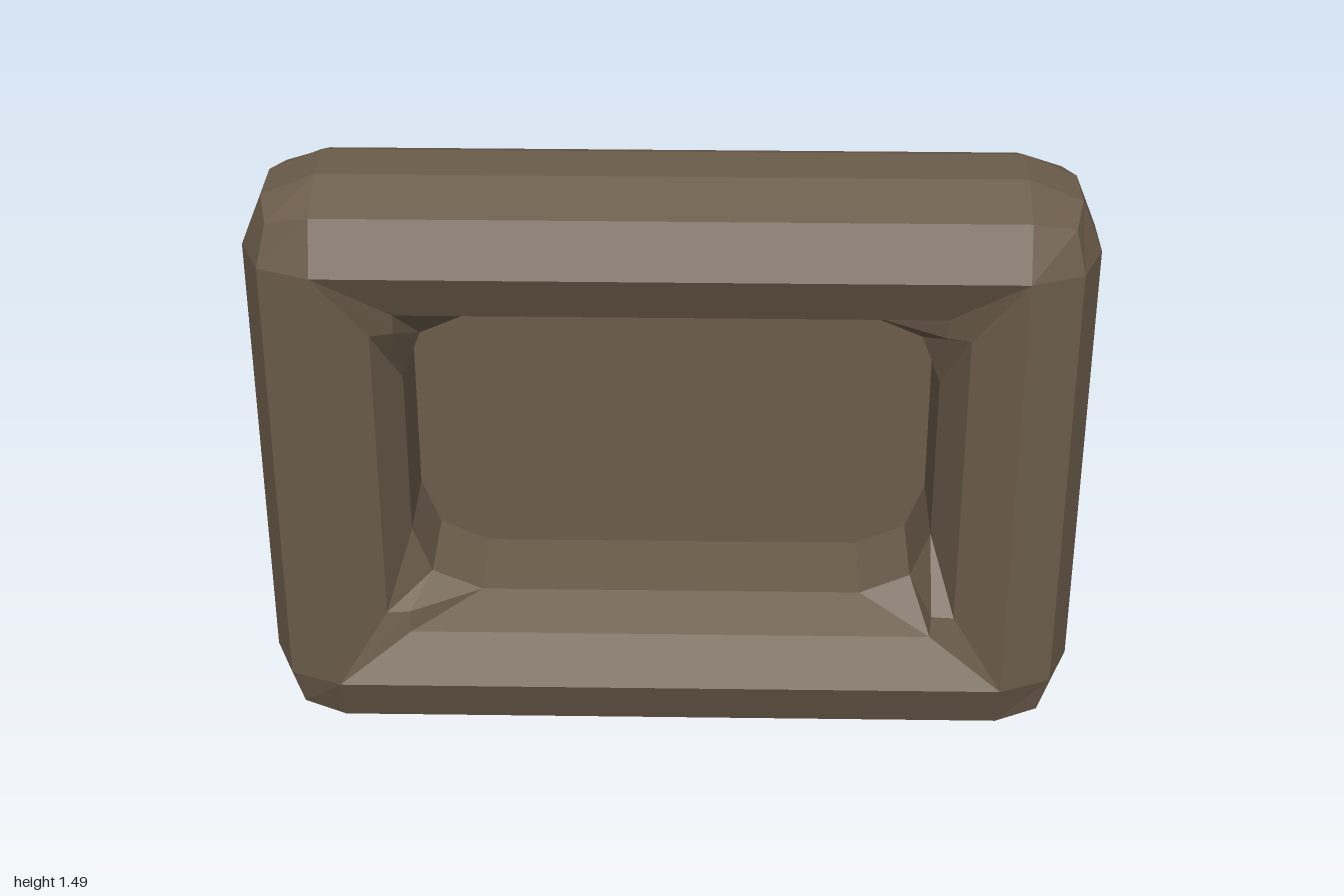
import * as THREE from 'three';
import { RoundedBoxGeometry } from 'three/addons/geometries/RoundedBoxGeometry.js';

const W = 2, H = 1.49, D = 0.5, R = 0.18, MID = H / 2;

function geometryFrom(positions) {
  const geometry = new THREE.BufferGeometry();
  geometry.setAttribute('position', new THREE.Float32BufferAttribute(positions, 3));
  geometry.computeVertexNormals();
  return geometry;
}

// Bevelled shell: a rounded box with its flat front panel left out
function shellGeometry() {
  const box = new RoundedBoxGeometry(W, H, D, 1, R);
  const source = box.index ? box.toNonIndexed() : box;
  const p = source.attributes.position;
  const kept = [];
  for (let i = 0; i < p.count; i += 3) {
    const onFront = [0, 1, 2].every((k) => p.getZ(i + k) > D / 2 - 0.001);
    if (onFront) continue;
    for (let k = 0; k < 3; k++) kept.push(p.getX(i + k), p.getY(i + k), p.getZ(i + k));
  }
  return geometryFrom(kept);
}

// Mirrors the three points of the top right corner into a 12 point ring, counterclockwise
function ring(corner) {
  const flip = (sx, sy) => corner.map(([x, y, z]) => new THREE.Vector3(x * sx, y * sy, z));
  return [
    ...flip(1, 1),
    ...flip(-1, 1).reverse(),
    ...flip(-1, -1),
    ...flip(1, -1).reverse(),
  ];
}

// Joins each ring to the next one behind it
function recessGeometry(rings) {
  const out = [];
  const triangle = (a, b, c) => {
    const area = new THREE.Triangle(a, b, c).getArea();
    if (area > 1e-7) for (const v of [a, b, c]) out.push(v.x, v.y, v.z);
  };
  for (let r = 0; r < rings.length - 1; r++) {
    const near = rings[r], far = rings[r + 1];
    for (let i = 0; i < near.length; i++) {
      const j = (i + 1) % near.length;
      triangle(near[i], near[j], far[j]);
      triangle(near[i], far[j], far[i]);
    }
  }
  return geometryFrom(out);
}

// Flat panel that closes the bottom of the recess
function panelGeometry(points) {
  const out = [];
  for (let i = 1; i < points.length - 1; i++) {
    for (const v of [points[0], points[i], points[i + 1]]) out.push(v.x, v.y, v.z);
  }
  return geometryFrom(out);
}

export function createModel() {
  const group = new THREE.Group();
  group.name = 'recessedFrame';
  const material = new THREE.MeshStandardMaterial({ color: 0x6b5c4a, flatShading: true });

  const add = (name, geometry) => {
    const mesh = new THREE.Mesh(geometry, material);
    mesh.name = name;
    mesh.position.y = MID;
    group.add(mesh);
  };

  // Recess rings, front to back
  const opening = [W / 2 - R, MID - R, D / 2];
  const rim = ring([opening, opening, opening]);
  const notch = ring([[0.7, 0.387, 0.19], [0.645, 0.39, 0.18], [0.643, 0.443, 0.19]]);
  const bevel = (z) => ring([[0.642, 0.215, z], [0.596, 0.337, z], [0.473, 0.391, z]]);
  const back = bevel(-0.157);

  add('outerShell', shellGeometry());
  add('innerRim', recessGeometry([rim, notch, bevel(0.073)]));
  add('recessWalls', recessGeometry([bevel(0.073), back]));
  add('backPanel', panelGeometry(back));
  return group;
}
